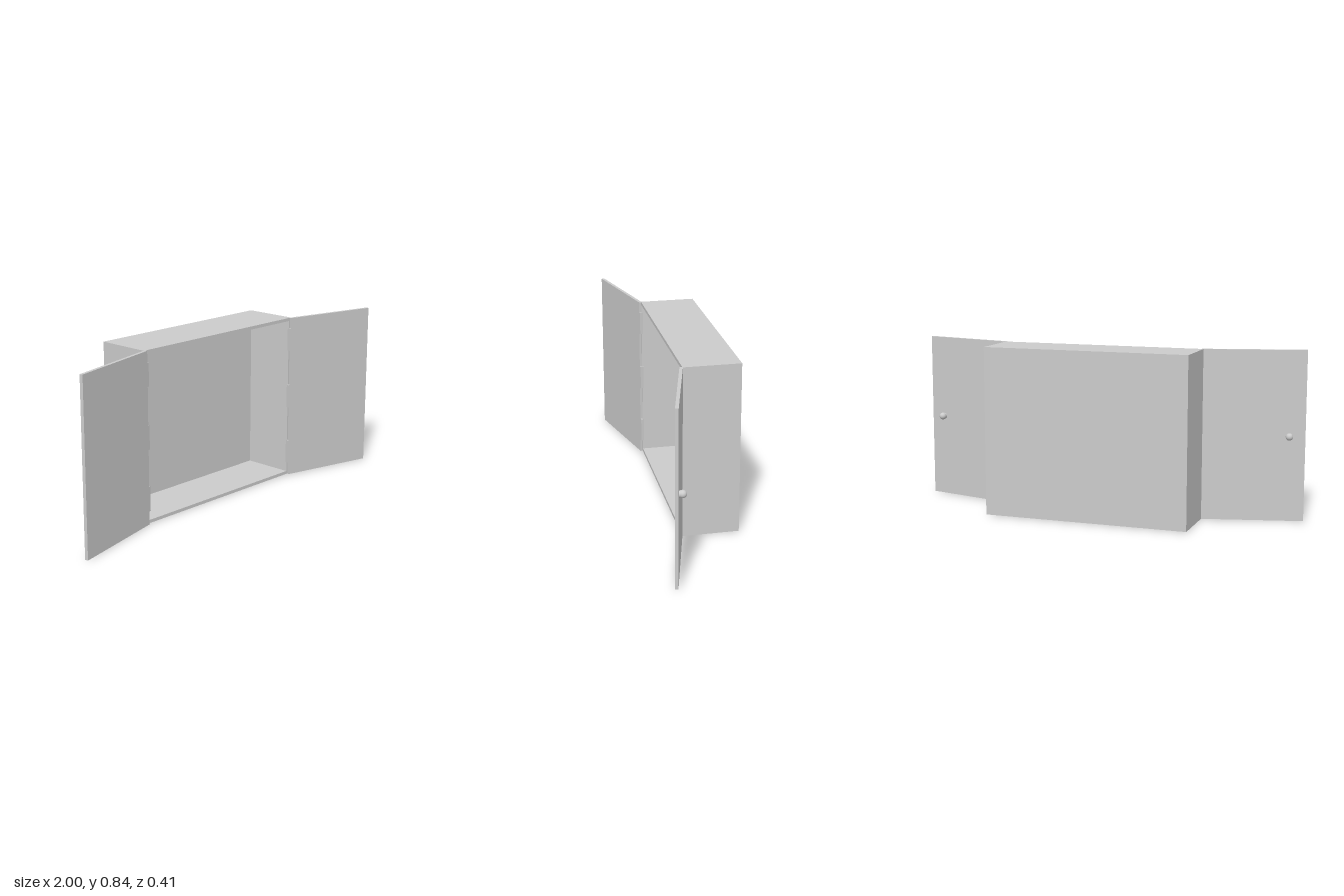
import * as THREE from 'three';

const HEIGHT = 0.84, HALF_WIDTH = 0.517, BACK = -0.204, FRONT = 0.07, WALL = 0.016;
const DOOR_LENGTH = 0.515, DOOR_THICKNESS = 0.0155, DOOR_ANGLE = Math.atan(0.25);

const material = new THREE.MeshStandardMaterial({ color: 0xcccccc });

function add(parent, name, geometry) {
  const mesh = new THREE.Mesh(geometry, material);
  mesh.name = name;
  parent.add(mesh);
  return mesh;
}

function polygon(points) {
  return points.map(([x, y]) => new THREE.Vector2(x, y));
}

function rectangle(x, y0, y1) {
  return polygon([[-x, y0], [x, y0], [x, y1], [-x, y1]]);
}

// Open-fronted case: four walls with a back panel set flush between them
function createCase() {
  const group = new THREE.Group();
  group.name = 'case';
  const outline = new THREE.Shape(rectangle(HALF_WIDTH, 0, HEIGHT));
  outline.holes.push(new THREE.Path(rectangle(HALF_WIDTH - WALL, WALL, HEIGHT - WALL)));
  const walls = new THREE.ExtrudeGeometry(outline, { depth: FRONT - BACK, bevelEnabled: false });
  add(group, 'caseWalls', walls).position.z = BACK;
  const panel = new THREE.BoxGeometry(2 * (HALF_WIDTH - WALL), HEIGHT - 2 * WALL, WALL);
  add(group, 'backPanel', panel).position.set(0, HEIGHT / 2, BACK + WALL / 2);
  return group;
}

// Door slab with notched hinge edge; side is +1 (left) or -1 (right)
function createDoor(side) {
  const door = new THREE.Group();
  door.name = side > 0 ? 'leftDoor' : 'rightDoor';
  const notch = 0.0105;
  const points = [[DOOR_LENGTH, 0], [DOOR_LENGTH, HEIGHT], [notch, HEIGHT]];
  // Hinge tabs, from the top down
  for (const [top, bottom] of [[0.785, 0.67], [0.487, 0.367], [0.188, 0.065]]) {
    points.push([notch, top], [0, top], [0, bottom], [notch, bottom]);
  }
  points.push([notch, 0]);
  const shape = new THREE.Shape(polygon(points.map(([x, y]) => [side * x, y])));
  add(door, 'doorPanel', new THREE.ExtrudeGeometry(shape, { depth: DOOR_THICKNESS, bevelEnabled: false }));

  // Round knob on a short neck, on the door's outer face
  const profile = [[0.0155, -0.002], [0.0155, 0.006]];
  for (let i = 0; i <= 12; i++) {
    const a = -0.53 + (Math.PI / 2 + 0.53) * i / 12;
    profile.push([i === 12 ? 0 : 0.018 * Math.cos(a), 0.015 + 0.018 * Math.sin(a)]);
  }
  const knob = add(door, 'knob', new THREE.LatheGeometry(polygon(profile), 32));
  knob.rotation.x = -Math.PI / 2;
  knob.position.set(side * 0.437, HEIGHT / 2, 0);

  door.position.set(side * 0.5, 0, 0.064);
  door.rotation.y = -side * DOOR_ANGLE;
  return door;
}

export function createModel() {
  const model = new THREE.Group();
  model.name = 'wallCabinet';
  model.add(createCase(), createDoor(1), createDoor(-1));
  return model;
}
